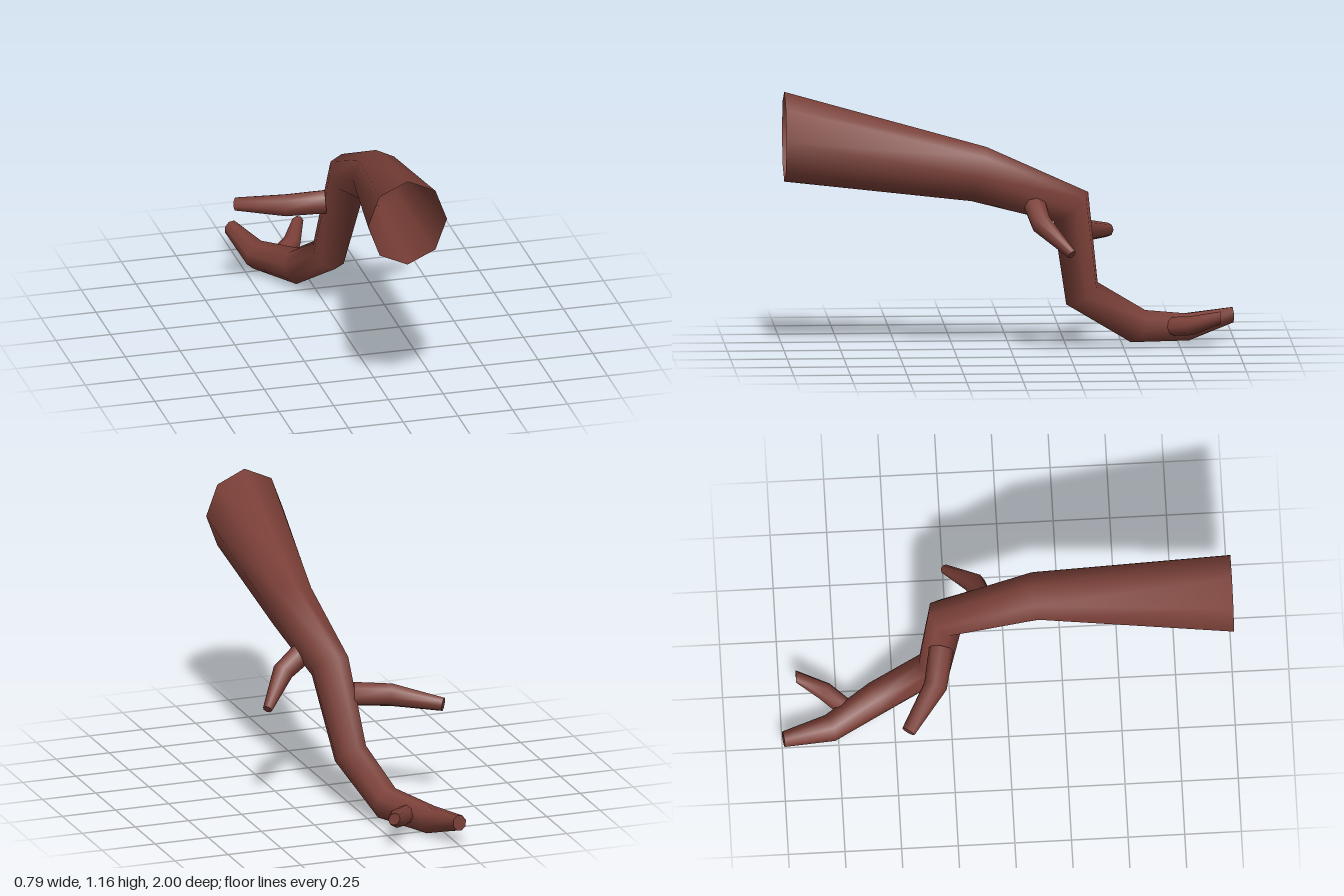
import * as THREE from 'three';

const SIDES = 8;
const bark = new THREE.MeshStandardMaterial({ color: 0x7b4038, side: THREE.DoubleSide });
bark.name = 'bark';

// Sweeps a tapering ring along points [x, y, z, radius]; the start is open, the tip is capped.
function limb(name, points, { ratio = 1, startDir, endDir } = {}) {
  const centres = points.map(([x, y, z]) => new THREE.Vector3(x, y, z));
  const last = centres.length - 1;
  const dir = (i) => centres[i + 1].clone().sub(centres[i]).normalize();
  const up = new THREE.Vector3(0, 1, 0);
  const pos = [], index = [];

  centres.forEach((c, i) => {
    // mitre direction at each joint
    let t;
    if (i === 0) t = startDir ?? dir(0);
    else if (i === last) t = endDir ?? dir(last - 1);
    else t = dir(i - 1).add(dir(i)).normalize();
    up.addScaledVector(t, -up.dot(t)).normalize();
    const across = t.clone().cross(up);
    for (let j = 0; j < SIDES; j++) {
      const a = (j / SIDES) * Math.PI * 2;
      const p = c.clone()
        .addScaledVector(up, Math.cos(a) * points[i][3])
        .addScaledVector(across, Math.sin(a) * points[i][3] * ratio);
      pos.push(p.x, p.y, p.z);
    }
  });

  for (let i = 0; i < last; i++) {
    for (let j = 0; j < SIDES; j++) {
      const k = (j + 1) % SIDES;
      const a = i * SIDES + j, b = i * SIDES + k;
      index.push(a, b, a + SIDES, b, b + SIDES, a + SIDES);
    }
  }

  // flat tip with its own vertices, so its rim stays sharp
  const tip = pos.length / 3;
  pos.push(...pos.slice(last * SIDES * 3));
  for (let j = 1; j < SIDES - 1; j++) index.push(tip, tip + j, tip + j + 1);

  const geo = new THREE.BufferGeometry();
  geo.setAttribute('position', new THREE.Float32BufferAttribute(pos, 3));
  geo.setIndex(index);
  geo.computeVertexNormals();
  const mesh = new THREE.Mesh(geo, bark);
  mesh.name = name;
  return mesh;
}

export function createModel() {
  const group = new THREE.Group();
  group.name = 'branch';
  const back = new THREE.Vector3(0, 0, -1);

  // Main bough: hollow thick end at the front, drooping and curling up at the back
  group.add(limb('mainBough', [
    [0.02, 0.96, 1, 0.2],
    [0.113, 0.8, 0.145, 0.125],
    [0.088, 0.648, -0.262, 0.1],
    [0.012, 0.25, -0.315, 0.085],
    [-0.065, 0.09, -0.567, 0.08],
    [-0.19, 0.066, -0.785, 0.066],
    [-0.248, 0.11, -0.995, 0.037],
  ], { ratio: 0.9, startDir: back, endDir: new THREE.Vector3(-0.15, 0.05, -1).normalize() }));

  // Side twigs
  group.add(limb('rightTwig', [
    [-0.01, 0.515, -0.285, 0.055],
    [-0.178, 0.502, -0.32, 0.052],
    [-0.375, 0.475, -0.45, 0.031],
  ]));
  group.add(limb('leftTwig', [
    [0.16, 0.665, -0.1, 0.052],
    [0.258, 0.597, -0.122, 0.047],
    [0.378, 0.477, -0.25, 0.021],
  ]));
  group.add(limb('endTwig', [
    [-0.095, 0.083, -0.725, 0.042],
    [-0.028, 0.095, -0.8, 0.042],
    [0.033, 0.138, -0.925, 0.028],
  ], { endDir: back }));

  return group;
}
